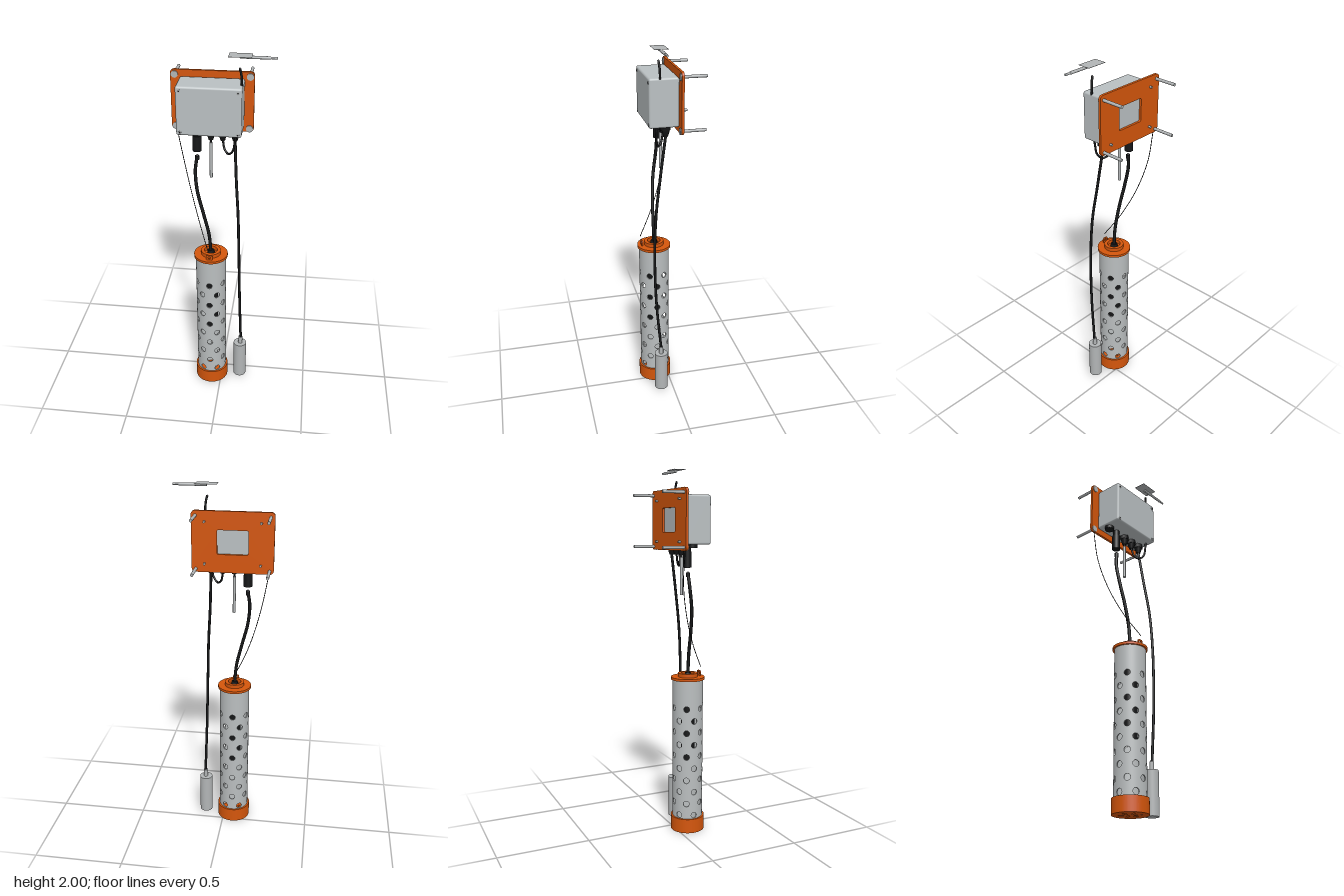
import * as THREE from 'three';
import { RoundedBoxGeometry } from 'three/addons/geometries/RoundedBoxGeometry.js';

const mat = (name, color, side = THREE.FrontSide) => {
  const m = new THREE.MeshStandardMaterial({ color, side });
  m.name = name;
  return m;
};

// Perforated pipe wall: each hole owns a rectangular cell wrapped round the pipe
function perforatedPipe(radius, wall, rows, firstY, pitch, holeR) {
  const pos = [], nor = [];
  const hw = radius * Math.PI / 6, hh = pitch / 2;
  const edge = [];
  for (let i = 0; i < 8; i++) edge.push([-1 + i / 4, -1]);
  for (let i = 0; i < 4; i++) edge.push([1, -1 + i / 2]);
  for (let i = 0; i < 8; i++) edge.push([1 - i / 4, 1]);
  for (let i = 0; i < 4; i++) edge.push([-1, 1 - i / 2]);
  const steps = 3, n = edge.length;
  const vertex = (p, r, normal) => {
    const s = Math.sin(p.a), c = Math.cos(p.a);
    pos.push(s * r, p.y, c * r);
    nor.push(...(normal || (r === radius ? [s, 0, c] : [-s, 0, -c])));
  };
  for (let row = 0; row < rows; row++) for (let k = 0; k < 6; k++) {
    const a0 = (k + (row % 2) / 2) * Math.PI / 3, y0 = firstY + row * pitch;
    const point = (i, t) => {
      const [ex, ey] = edge[i % n], u = ex * hw, v = ey * hh, d = Math.atan2(v, u);
      const pu = THREE.MathUtils.lerp(Math.cos(d) * holeR, u, t);
      const pv = THREE.MathUtils.lerp(Math.sin(d) * holeR, v, t);
      return { a: a0 + pu / radius, y: y0 + pv, d };
    };
    for (let i = 0; i < n; i++) {
      for (let s = 0; s < steps; s++) {
        const a = point(i, s / steps), b = point(i, (s + 1) / steps);
        const c = point(i + 1, (s + 1) / steps), d = point(i + 1, s / steps);
        for (const p of [a, b, c, a, c, d]) vertex(p, radius);
        for (const p of [a, c, b, a, d, c]) vertex(p, radius - wall);
      }
      // rim of the hole
      const p = point(i, 0), q = point(i + 1, 0), inner = radius - wall;
      for (const [v, r] of [[p, inner], [p, radius], [q, radius], [p, inner], [q, radius], [q, inner]])
        vertex(v, r, [-Math.cos(v.d) * Math.cos(a0), -Math.sin(v.d), Math.cos(v.d) * Math.sin(a0)]);
    }
  }
  const g = new THREE.BufferGeometry();
  g.setAttribute('position', new THREE.Float32BufferAttribute(pos, 3));
  g.setAttribute('normal', new THREE.Float32BufferAttribute(nor, 3));
  return g;
}

function roundedRect(path, w, h, r) {
  const x = w / 2, y = h / 2;
  path.absarc(x - r, y - r, r, 0, Math.PI / 2);
  path.absarc(-x + r, y - r, r, Math.PI / 2, Math.PI);
  path.absarc(-x + r, -y + r, r, Math.PI, Math.PI * 1.5);
  path.absarc(x - r, -y + r, r, Math.PI * 1.5, Math.PI * 2);
  path.closePath();
  return path;
}

export function createModel() {
  const root = new THREE.Group();
  const orange = mat('orange plastic', 0xd4560c);
  const grey = mat('light grey', 0xbac0c2);
  const pipeGrey = mat('pipe grey', 0xbabebf, THREE.DoubleSide);
  const steel = mat('steel', 0xb2b5b6, THREE.DoubleSide);
  const black = mat('black rubber', 0x161718);

  const add = (name, geo, material, x = 0, y = 0, z = 0, parent = root) => {
    const m = new THREE.Mesh(geo, material);
    m.name = name;
    m.position.set(x, y, z);
    parent.add(m);
    return m;
  };
  // Upright cylinder between two heights
  const post = (name, material, x, z, y0, y1, rTop, rBottom = rTop, sides = 24) =>
    add(name, new THREE.CylinderGeometry(rTop, rBottom, y1 - y0, sides), material, x, (y0 + y1) / 2, z);
  // Rod along z
  const rodZ = (name, material, x, y, z0, z1, r) => {
    add(name, new THREE.CylinderGeometry(r, r, z1 - z0, 20), material, x, y, (z0 + z1) / 2).rotation.x = Math.PI / 2;
  };
  const cable = (name, material, points, r) => {
    const curve = new THREE.CatmullRomCurve3(points.map(p => new THREE.Vector3(...p)));
    add(name, new THREE.TubeGeometry(curve, 64, r, 10), material);
    for (const p of [points[0], points[points.length - 1]])
      add(name + 'End', new THREE.SphereGeometry(r, 10, 8), material, ...p);
  };

  // Mounting plate with a window
  const cx = -0.057, cy = 1.728;
  const plate = roundedRect(new THREE.Shape(), 0.423, 0.316, 0.02);
  plate.holes.push(roundedRect(new THREE.Path(), 0.16, 0.125, 0.008));
  add('mountingPlate', new THREE.ExtrudeGeometry(plate, { depth: 0.013, bevelEnabled: false, curveSegments: 8 }),
    orange, cx, cy, -0.045);

  // Housing
  add('housing', new RoundedBoxGeometry(0.326, 0.253, 0.155, 4, 0.011), grey, cx, 1.7265, 0.0455);

  // Bolts and screws at the corners
  for (const sx of [-1, 1]) for (const sy of [-1, 1]) {
    const bx = cx + sx * 0.19, by = 1.724 + sy * 0.137;
    rodZ('wallBolt', steel, bx, by, -0.165, -0.03, 0.008);
    rodZ('boltHead', steel, bx, by, -0.032, -0.027, 0.018);
    const lx = cx + sx * 0.144, ly = 1.723 + sy * 0.108;
    rodZ('backScrew', steel, lx, ly, -0.058, -0.03, 0.006);
    rodZ('lidScrew', steel, lx, ly, 0.11, 0.1245, 0.009);
    rodZ('lidScrewSocket', black, lx, ly, 0.124, 0.1252, 0.004);
  }

  // Fittings under the housing
  const gz = 0.03;
  post('ventPlug', black, -0.188, gz, 1.583, 1.602, 0.026);
  post('connectorNeck', black, -0.13, gz, 1.555, 1.602, 0.019);
  post('connectorBody', black, -0.13, gz, 1.48, 1.565, 0.023);
  for (const x of [-0.058, 0.003, 0.066]) {
    post('glandNut', black, x, gz, 1.578, 1.602, 0.026, 0.026, 6);
    post('glandDome', black, x, gz, 1.545, 1.58, 0.022, 0.012);
  }
  post('thermometerLead', black, -0.058, gz, 1.51, 1.55, 0.005);
  post('thermometerRod', steel, -0.058, gz, 1.33, 1.53, 0.008);

  // Cables
  cable('mainCable', black, [[-0.13, 1.45, 0.034], [-0.14, 1.37, 0.041], [-0.13, 1.26, 0.057], [-0.098, 1.13, 0.068],
    [-0.068, 1.0, 0.071], [-0.058, 0.88, 0.071]], 0.009);
  post('mainCableSleeve', black, -0.13, 0.034, 1.43, 1.452, 0.011);
  cable('probeCable', black, [[0.066, 1.55, 0.03], [0.077, 1.34, 0.06], [0.092, 1.13, 0.088], [0.1, 0.9, 0.1],
    [0.107, 0.6, 0.095], [0.115, 0.29, 0.071]], 0.0075);
  cable('antennaLoop', black, [[0.003, 1.55, 0.03], [0.014, 1.5, 0.042], [0.036, 1.483, 0.062], [0.06, 1.51, 0.077],
    [0.07, 1.56, 0.08], [0.08, 1.61, 0.078]], 0.0055);
  cable('antennaLead', black, [[0.1, 1.84, 0.066], [0.099, 1.88, 0.066], [0.096, 1.91, 0.068], [0.09, 1.935, 0.071]], 0.006);
  cable('safetyWire', black, [[-0.245, 1.575, -0.038], [-0.213, 1.4, -0.032], [-0.168, 1.22, 0.01],
    [-0.115, 1.06, 0.075], [-0.062, 0.93, 0.148]], 0.002);

  // Antenna: thin panel with a slim rod
  add('antennaPanel', new THREE.BoxGeometry(0.112, 0.001, 0.07), steel, 0.092, 1.9995, 0.068);
  const rodX = (name, x0, x1, r) => {
    add(name, new THREE.CylinderGeometry(r, r, x1 - x0, 16), steel, (x0 + x1) / 2, 1.992, 0.068).rotation.z = Math.PI / 2;
  };
  rodX('antennaRod', 0.09, 0.235, 0.0075);
  rodX('antennaTip', 0.235, 0.267, 0.0055);

  // Hanging probe
  post('probeBody', steel, 0.111, 0.07, 0.015, 0.25, 0.037, 0.037, 32);
  post('probeNeck', steel, 0.113, 0.07, 0.25, 0.295, 0.012);

  // Perforated sensor pipe
  const sensor = new THREE.Group();
  sensor.name = 'sensorPipe';
  sensor.position.set(-0.058, 0, 0.071);
  root.add(sensor);
  const R = 0.084, wall = 0.006, pitch = 0.0677, y0 = 0.1, rows = 10;
  // the first row is staggered, so turn the pipe half a cell
  add('perforatedWall', perforatedPipe(R, wall, rows, y0, pitch, 0.0165), pipeGrey, 0, 0, 0, sensor)
    .rotation.y = Math.PI / 6;
  const band = (a, b) => {
    for (const r of [R, R - wall])
      add('plainWall', new THREE.CylinderGeometry(r, r, b - a, 48, 1, true), pipeGrey, 0, (a + b) / 2, 0, sensor);
  };
  band(0.02, y0 - pitch / 2);
  band(y0 + (rows - 0.5) * pitch, 0.87);
  add('innerSensor', new THREE.CylinderGeometry(0.038, 0.038, 0.5, 24), black, 0, 0.62, 0, sensor);

  // Rings with square corners
  const ring = (name, rIn, rOut, a, b) => {
    const s = new THREE.Shape().absarc(0, 0, rOut, 0, Math.PI * 2);
    s.holes.push(new THREE.Path().absarc(0, 0, rIn, 0, Math.PI * 2));
    const g = new THREE.ExtrudeGeometry(s, { depth: b - a, bevelEnabled: false, curveSegments: 48 });
    add(name, g.rotateX(-Math.PI / 2), orange, 0, a, 0, sensor);
  };
  ring('bottomCapWall', R, 0.094, 0, 0.08);
  // Cap floor with radial drain slots
  const floor = new THREE.Shape().absarc(0, 0, 0.085, 0, Math.PI * 2);
  for (let i = 0; i < 6; i++) {
    const a = i * Math.PI / 3, c = Math.cos(a), s = Math.sin(a);
    floor.holes.push(new THREE.Path([[0.02, -0.005], [0.06, -0.005], [0.06, 0.005], [0.02, 0.005]]
      .map(([u, v]) => new THREE.Vector2(u * c - v * s, u * s + v * c))));
  }
  add('bottomCapFloor', new THREE.ExtrudeGeometry(floor, { depth: 0.012, bevelEnabled: false, curveSegments: 32 })
    .rotateX(-Math.PI / 2), orange, 0, 0, 0, sensor);

  // Top cap, collar and cable gland
  ring('topFlange', 0.015, 0.093, 0.865, 0.879);
  ring('topCollar', 0.036, 0.054, 0.878, 0.9);
  add('topGland', new THREE.CylinderGeometry(0.018, 0.024, 0.022, 6), black, 0, 0.889, 0, sensor);

  // Eyelet for the safety wire
  const eye = roundedRect(new THREE.Shape(), 0.034, 0.034, 0.01);
  eye.holes.push(new THREE.Path().absarc(0, 0.002, 0.008, 0, Math.PI * 2));
  add('wireEyelet', new THREE.ExtrudeGeometry(eye, { depth: 0.007, bevelEnabled: false }), orange, 0, 0.892, 0.066, sensor);

  return root;
}
